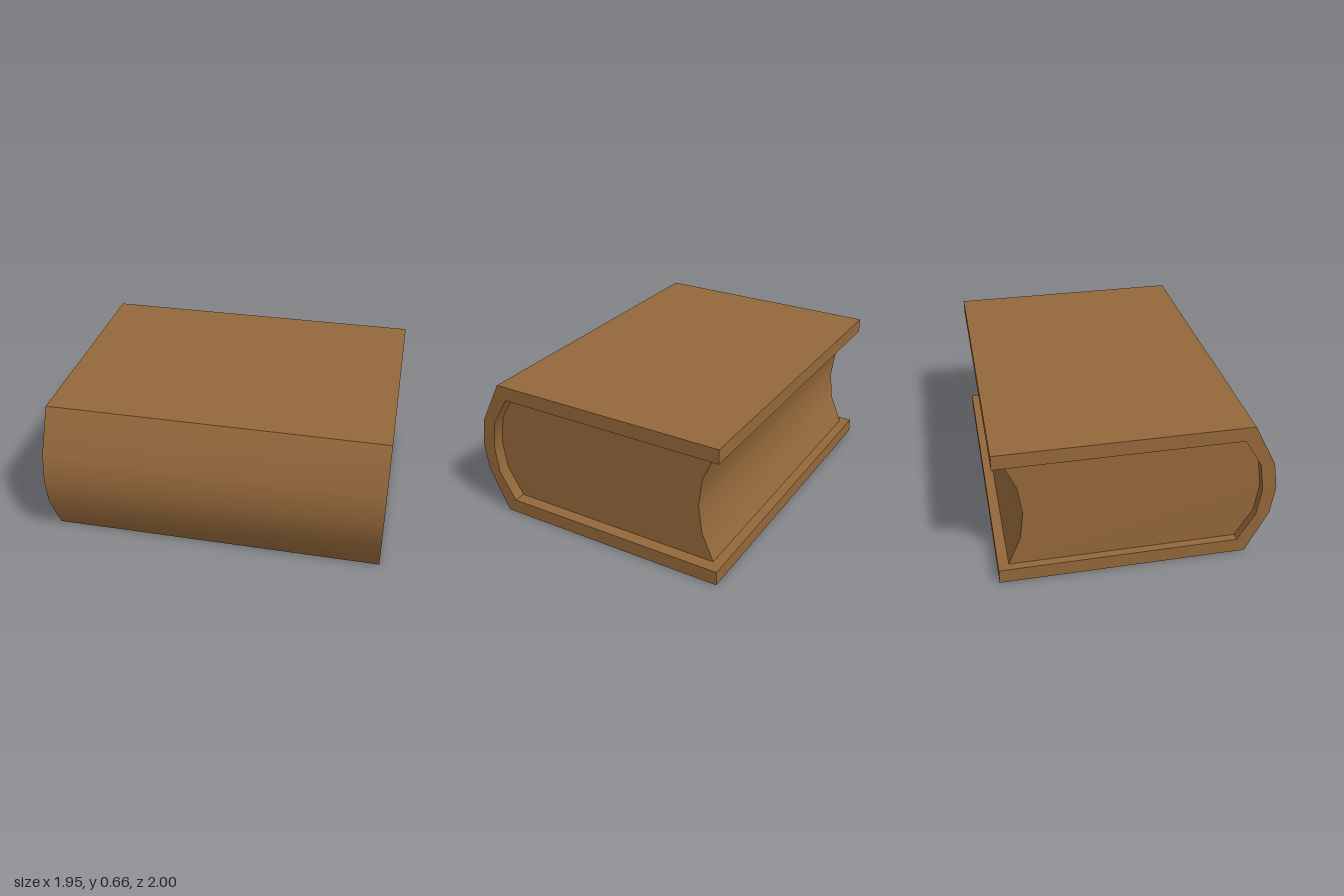
import * as THREE from 'three';
import { toCreasedNormals } from 'three/addons/utils/BufferGeometryUtils.js';

// Closed book lying flat: profile in (width, height), extruded along the spine.
const W = 1.245, L = 1.56, H = 0.664, T = 0.067;

// Curved side as [offset, height] from bottom to top
const bow = (edge, near, mid, y0, y1) => [
  [edge, y0], [near, 0.2], [mid, H / 2], [near, H - 0.2], [edge, y1],
];

function slab(name, points, z0, z1, material) {
  const shape = new THREE.Shape(points.map(([x, y]) => new THREE.Vector2(x - W / 2, y)));
  const geo = new THREE.ExtrudeGeometry(shape, { depth: z1 - z0, bevelEnabled: false });
  geo.translate(0, 0, z0);
  const mesh = new THREE.Mesh(toCreasedNormals(geo, 0.55), material);
  mesh.name = name;
  return mesh;
}

export function createModel() {
  const brown = new THREE.MeshStandardMaterial({ color: 0x94683a });
  brown.name = 'brown';

  const group = new THREE.Group();
  group.name = 'book';

  const outerSpine = bow(0.122, 0.02, 0, 0, H);
  const innerSpine = bow(0.163, 0.083, 0.064, T, H - T);
  const foreEdge = bow(W - 0.047, W - 0.104, W - 0.121, T, H - T);

  // Cover: two boards joined by the rounded spine
  group.add(slab('cover', [
    [W, 0], [W, T], ...innerSpine, [W, H - T], [W, H], ...[...outerSpine].reverse(),
  ], -L / 2, L / 2, brown));

  // Page block: set in at both ends, with a hollow fore edge
  group.add(slab('pages', [
    ...foreEdge, ...[...innerSpine].reverse(),
  ], -L / 2 + 0.037, L / 2 - 0.057, brown));

  // Turned on the ground
  group.rotation.y = Math.atan2(0.627, 0.78);
  const model = new THREE.Group();
  model.add(group);
  return model;
}
